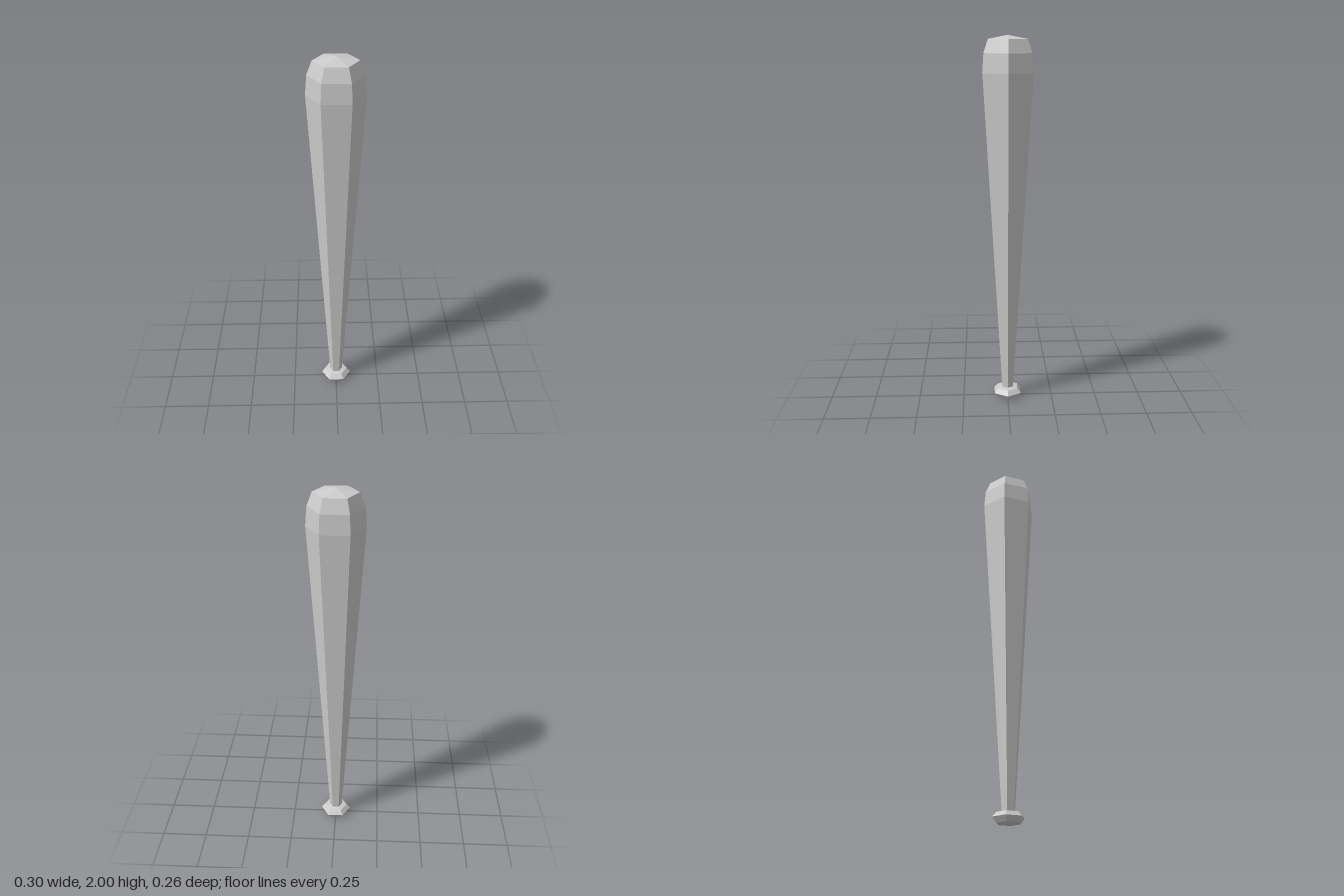
import * as THREE from 'three';

const material = new THREE.MeshStandardMaterial({ color: 0xcccccc, flatShading: true });

// Six-sided turned part from [radius, height] pairs, with corners on the x axis
function turned(name, profile) {
  const points = profile.map(([r, y]) => new THREE.Vector2(r, y));
  const mesh = new THREE.Mesh(new THREE.LatheGeometry(points, 6, Math.PI / 2), material);
  mesh.name = name;
  return mesh;
}

export function createModel() {
  const bat = new THREE.Group();
  bat.name = 'bat';

  // Flared end knob
  bat.add(turned('knob', [[0, 0], [0.063, 0], [0.085, 0.028], [0.063, 0.052], [0.035, 0.057], [0, 0.057]]));

  // Handle widening into the barrel, with a rounded shoulder and shallow domed tip
  bat.add(turned('handleAndBarrel', [[0.035, 0.055], [0.15, 1.81], [0.142, 1.91], [0.115, 1.98], [0, 2]]));

  return bat;
}
